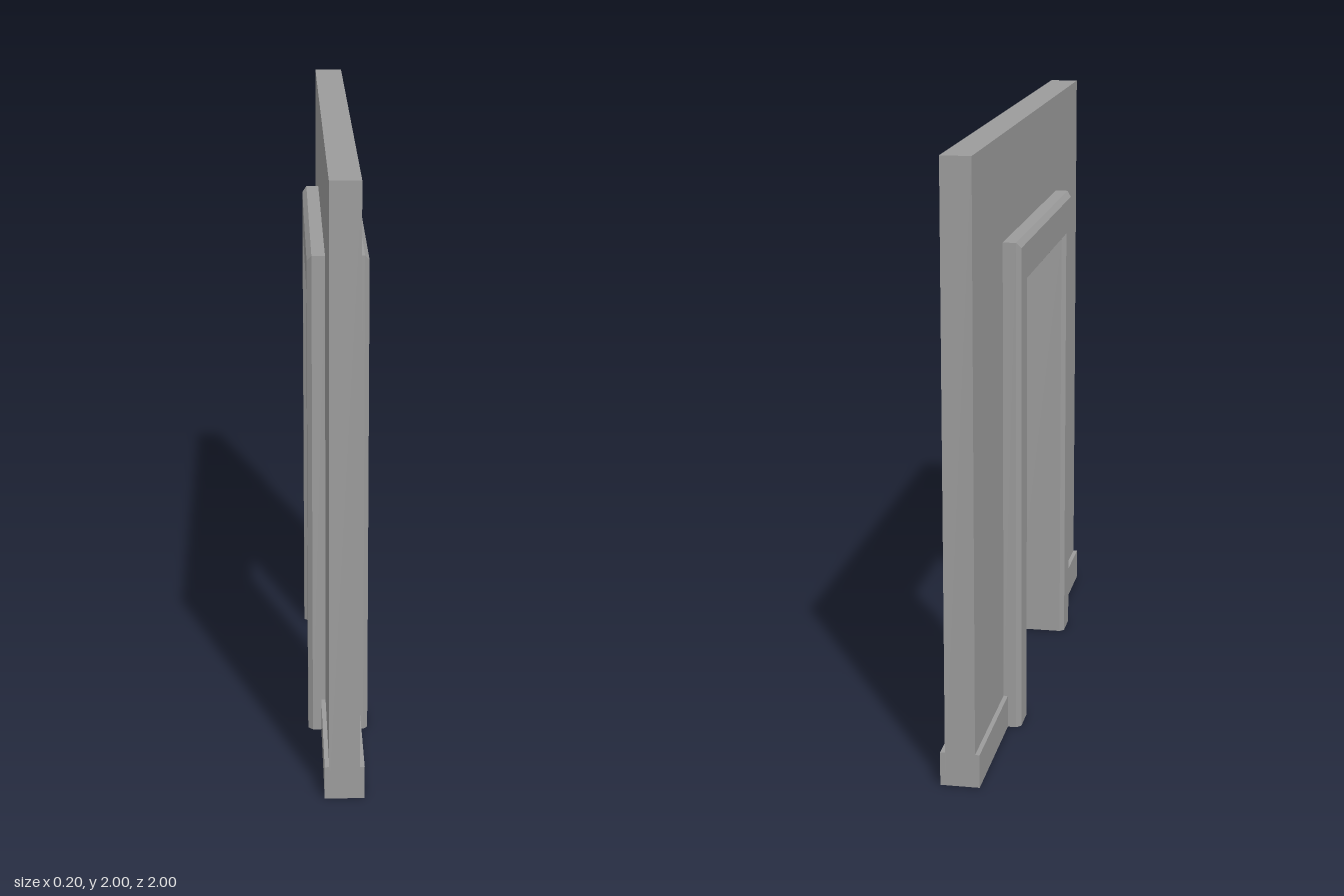
import * as THREE from 'three';

const color = 0x9c9c9c;
const material = new THREE.MeshStandardMaterial({ color, flatShading: true });
const openMaterial = new THREE.MeshStandardMaterial({ color, flatShading: true, side: THREE.DoubleSide });

// Wall panel with the doorway cut out; the cut edge is hidden inside the casing.
function createWall() {
  const half = 0.43, head = 1.55;
  const shape = new THREE.Shape([
    [-1, 0], [-half, 0], [-half, head], [half, head], [half, 0], [1, 0], [1, 2], [-1, 2],
  ].map(([x, y]) => new THREE.Vector2(x, y)));
  const geometry = new THREE.ExtrudeGeometry(shape, { depth: 0.097, bevelEnabled: false });
  geometry.rotateY(Math.PI / 2).translate(-0.042, 0, 0);
  const wall = new THREE.Mesh(geometry, material);
  wall.name = 'wall';
  return wall;
}

// Chamfered casing profile swept up one jamb, across the head and down the other.
function createCasing() {
  const halfWidth = 0.388, head = 1.502;
  // [x, distance outward from the opening]
  const side = [[0.04, 0.13], [0.085, 0.13], [0.1, 0.114], [0.1, 0.015], [0.085, 0]];
  const profile = [...side, ...side.map(([x, o]) => [-x, o]).reverse()];
  const rings = profile.map(([x, o]) => {
    const z = halfWidth + o, y = head + o * 1.18;
    return [[x, 0, z], [x, y, z], [x, y, -z], [x, 0, -z]];
  });
  const positions = [];
  for (let i = 0; i < rings.length - 1; i++) {
    for (let j = 0; j < 3; j++) {
      const a = rings[i][j], b = rings[i + 1][j], c = rings[i + 1][j + 1], d = rings[i][j + 1];
      positions.push(...a, ...b, ...c, ...a, ...c, ...d);
    }
  }
  const geometry = new THREE.BufferGeometry();
  geometry.setAttribute('position', new THREE.Float32BufferAttribute(positions, 3));
  geometry.computeVertexNormals();
  const casing = new THREE.Mesh(geometry, openMaterial);
  casing.name = 'doorCasing';
  return casing;
}

// Skirting board wrapping the wall foot on one side of the doorway.
function createSkirting(sign) {
  const length = 0.57, height = 0.111;
  const skirting = new THREE.Mesh(new THREE.BoxGeometry(0.127, height, length), material);
  skirting.position.set(0.007, height / 2, sign * (1 - length / 2));
  skirting.name = sign > 0 ? 'frontSkirting' : 'backSkirting';
  return skirting;
}

export function createModel() {
  const group = new THREE.Group();
  group.name = 'doorwayWall';
  group.add(createWall(), createCasing());
  for (const sign of [1, -1]) group.add(createSkirting(sign));
  return group;
}
